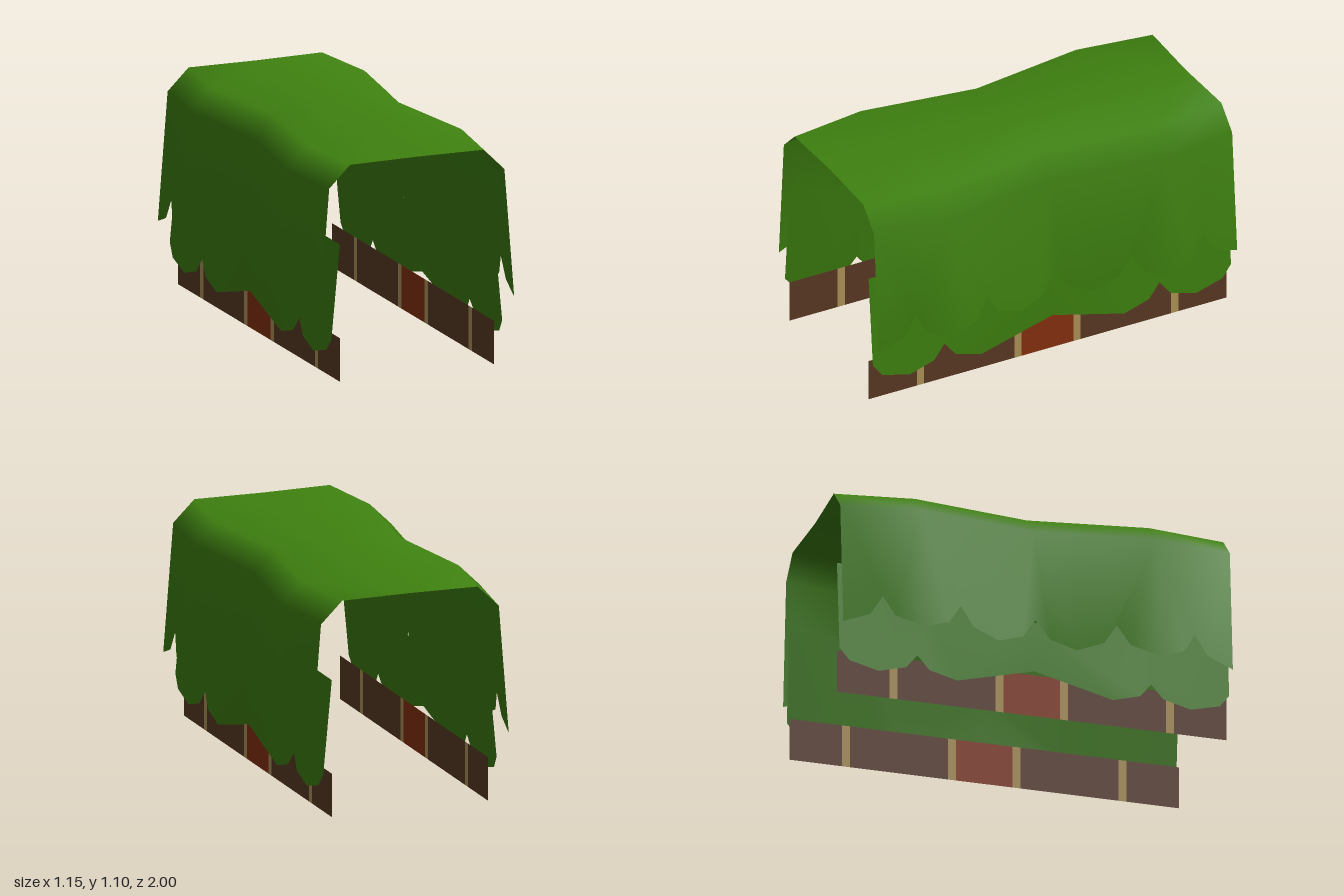
import * as THREE from 'three';
import { mergeVertices } from 'three/addons/utils/BufferGeometryUtils.js';

const paint = (name, color) => {
  const m = new THREE.MeshStandardMaterial({ color, side: THREE.DoubleSide });
  m.name = name;
  return m;
};

// Collects the triangles of a cloth, on the left (side 1) or mirrored (side -1)
function triangle(out, side, a, b, c) {
  const corners = side > 0 ? [a, b, c] : [a, c, b];
  for (const [x, y, z] of corners) out.push(side * x, y, z);
}

// Joins a coarse upper row to a finer lower row; both run from front to back
function strip(out, side, upper, lower) {
  for (let k = 0; k < upper.length - 1; k++) {
    const a = upper[k], b = upper[k + 1];
    const first = lower.length === upper.length ? k : lower.findIndex(p => p[2] < a[2] + 0.02);
    const end = lower.length === upper.length ? k + 1 : lower.findIndex(p => p[2] < b[2] + 0.02);
    const p = lower.slice(first, end + 1);
    const mid = Math.floor((p.length - 1) / 2);
    for (let i = 0; i < p.length - 1; i++) triangle(out, side, i < mid ? a : b, p[i], p[i + 1]);
    triangle(out, side, a, p[mid], b);
  }
}

function cloth(positions) {
  let g = new THREE.BufferGeometry();
  g.setAttribute('position', new THREE.Float32BufferAttribute(positions, 3));
  g = mergeVertices(g, 1e-4);
  g.computeVertexNormals();
  return g;
}

// Repeats a front half [z, y] list to the back, sharing the middle point
const mirrorEdge = half => [...half, ...half.slice(0, -1).reverse().map(([z, y]) => [-z, y])];

export function createModel() {
  const model = new THREE.Group();
  const leaf = paint('leaf green', 0x3f8210);
  const wood = paint('brown', 0x5e3b25);
  const red = paint('rust red', 0x8b320f);
  const tan = paint('tan', 0xb5995b);
  const add = (geometry, material, name) => {
    const mesh = new THREE.Mesh(geometry, material);
    mesh.name = name;
    model.add(mesh);
    return mesh;
  };

  // Outer cover: flat roof, bevelled shoulders and flared walls pinched in the middle
  const stations = [1, 0.6, 0, -0.6, -1];
  const shoulderX = z => {
    const d = Math.abs(z);
    return d < 0.6 ? 0.44 + 0.085 * d / 0.6 : 0.525 - 0.055 * (d - 0.6) / 0.4;
  };
  const ridge = stations.map(z => [0, 1.1, Math.abs(z) === 1 ? z * 0.99 : z]);
  const roofEdge = stations.map(z => [shoulderX(z) - 0.112, 1.1, z]);
  const shoulder = stations.map(z => [shoulderX(z), 0.99, z]);
  const coverHem = mirrorEdge([
    [1, 0.335], [0.865, 0.385], [0.8, 0.49], [0.74, 0.385], [0.6, 0.335],
    [0.465, 0.385], [0.4, 0.49], [0.335, 0.385], [0.2, 0.335], [0.07, 0.385], [0, 0.49],
  ]).map(([z, y]) => [shoulderX(z) + 0.08 * (0.99 - y), y, z]);
  const cover = [];
  for (const side of [1, -1]) {
    strip(cover, side, ridge, roofEdge);
    strip(cover, side, roofEdge, shoulder);
    strip(cover, side, shoulder, coverHem);
  }
  add(cloth(cover), leaf, 'cover');

  // Inner skirts with a dipped top edge and a scalloped hem
  const skirtTop = stations.map(z => (z === 0 ? [0.455, 0.485, 0] : [0.413, 0.7, z]));
  const skirtHem = mirrorEdge([
    [1, 0.22], [0.95, 0.155], [0.8, 0.115], [0.66, 0.155], [0.6, 0.23],
    [0.54, 0.155], [0.4, 0.115], [0, 0.22],
  ]).map(([z, y]) => [z === 0 ? 0.462 : 0.413 + 0.094 * (0.7 - y), y, z]);

  // Base boards, banded along their length
  const bands = [
    [1, 0.73, wood, 'baseBoard'], [0.73, 0.69, tan, 'band'],
    [0.69, 0.185, wood, 'baseBoard'], [0.185, 0.145, tan, 'band'],
    [0.145, -0.145, red, 'middleBoard'], [-0.145, -0.185, tan, 'band'],
    [-0.185, -0.69, wood, 'baseBoard'], [-0.69, -0.73, tan, 'band'],
    [-0.73, -1, wood, 'baseBoard'],
  ];

  for (const side of [1, -1]) {
    const label = side > 0 ? 'left' : 'right';
    const skirt = [];
    strip(skirt, side, skirtTop, skirtHem);
    add(cloth(skirt), leaf, label + ' skirt');
    for (const [z0, z1, material, name] of bands) {
      const board = add(new THREE.PlaneGeometry(z0 - z1, 0.222), material, `${label} ${name}`);
      board.rotation.y = side * Math.PI / 2;
      board.position.set(side * 0.413, 0.111, (z0 + z1) / 2);
    }
  }
  return model;
}
